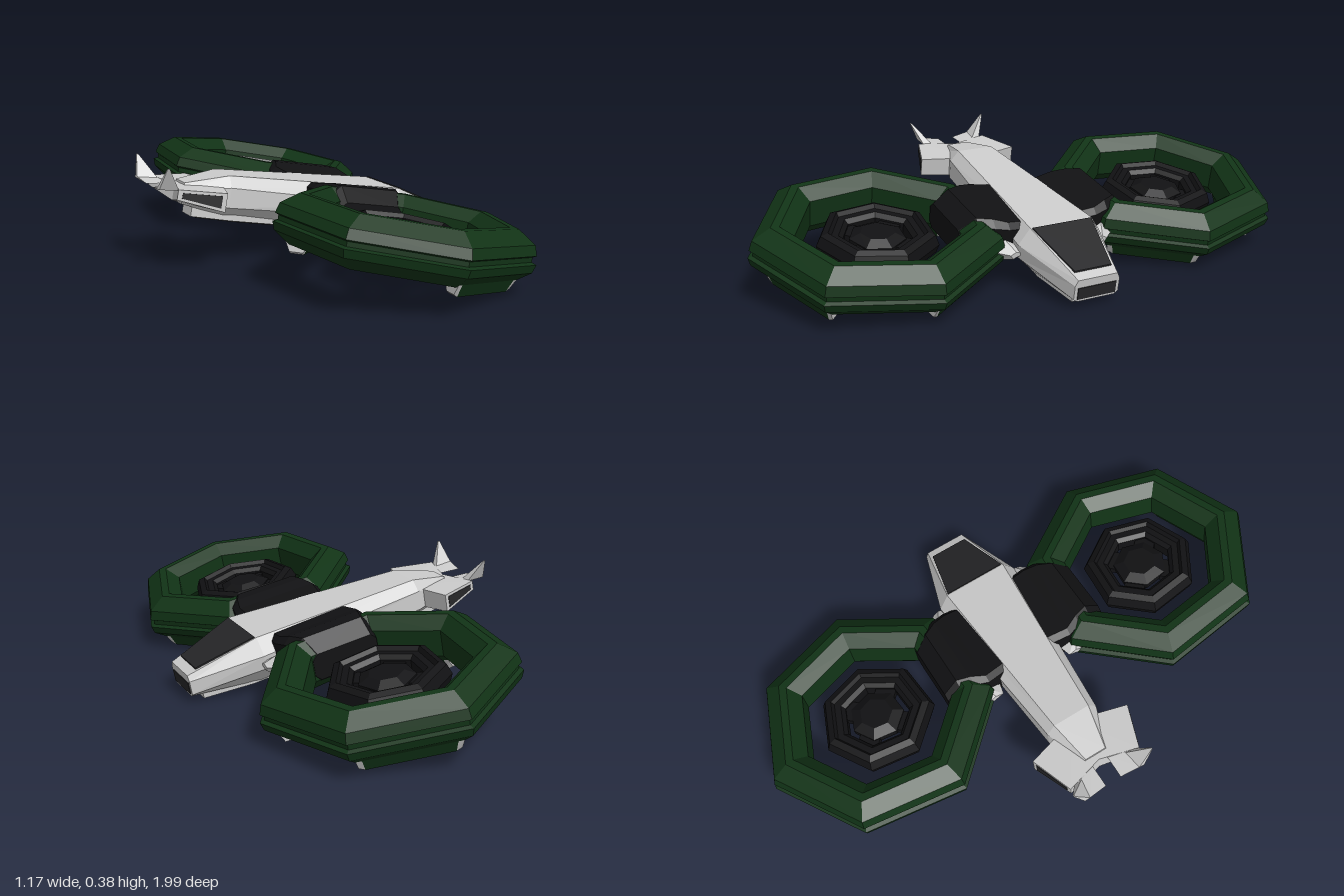
import * as THREE from 'three';

const mat = (color) => new THREE.MeshStandardMaterial({ color, flatShading: true });
const GREY = mat(0xcccccc), GREEN = mat(0x113316), BLACK = mat(0x111113), GLASS = mat(0x262628);
const DEG = Math.PI / 180;
const RING_X = 0.085, RING_Z = 0.565;

function add(parent, name, geometry, material) {
  const mesh = new THREE.Mesh(geometry, material);
  mesh.name = name;
  parent.add(mesh);
  return mesh;
}

// Closed solid through a row of equal point loops; faces are turned outward by its volume
function loft(loops) {
  const tris = [], n = loops[0].length, last = loops[loops.length - 1];
  for (let i = 0; i < loops.length - 1; i++) {
    for (let j = 0; j < n; j++) {
      const k = (j + 1) % n, a = loops[i], b = loops[i + 1];
      tris.push([a[j], a[k], b[j]], [a[k], b[k], b[j]]);
    }
  }
  for (let j = 1; j < n - 1; j++) {
    tris.push([last[0], last[j], last[j + 1]], [loops[0][0], loops[0][j + 1], loops[0][j]]);
  }
  const v = (p) => new THREE.Vector3(...p);
  let volume = 0;
  for (const [a, b, c] of tris) volume += v(a).dot(v(b).cross(v(c)));
  if (volume < 0) tris.forEach((t) => t.reverse());
  const g = new THREE.BufferGeometry();
  g.setAttribute('position', new THREE.Float32BufferAttribute(tris.flat(2), 3));
  g.computeVertexNormals();
  return g;
}

// Cross-section at x from the [z, y] points of its +z half, top to bottom
const section = (x, half) => [
  ...half.map(([z, y]) => [x, y, z]),
  ...half.slice().reverse().map(([z, y]) => [x, y, -z]),
];

// Seven-sided ring from a closed [radius, y] profile
function heptagon(profile, s) {
  const pts = profile.map(([r, y]) => new THREE.Vector2(r, y));
  return new THREE.LatheGeometry(pts, 7, (s > 0 ? -5 : 185) * DEG, Math.PI * 2);
}

function fuselage(craft) {
  add(craft, 'hull', loft([
    section(-0.48, [[0.04, 0.025], [0.05, 0.0], [0.05, -0.03], [0.035, -0.05]]),
    section(-0.33, [[0.07, 0.068], [0.1, 0.03], [0.1, -0.04], [0.06, -0.075]]),
    section(0.33, [[0.12, 0.088], [0.16, 0.03], [0.155, -0.02], [0.09, -0.085]]),
    section(0.585, [[0.075, 0.02], [0.085, 0.0], [0.085, -0.05], [0.07, -0.06]]),
  ]), GREY);
  add(craft, 'canopy', loft([
    section(0.335, [[0.115, 0.091], [0.115, 0.07]]),
    section(0.55, [[0.07, 0.035], [0.07, 0.015]]),
  ]), GLASS);
  add(craft, 'noseIntake', new THREE.BoxGeometry(0.01, 0.042, 0.145), GLASS).position.set(0.583, -0.03, 0);
  // Belly plate with a dark panel under it
  for (const [name, w, top, bottom, m] of [
    ['bellyPlate', 1, -0.04, -0.09, GREY], ['bellyPanel', 0.9, -0.08, -0.094, BLACK],
  ]) {
    add(craft, name, loft([[-0.44, 0.04], [-0.3, 0.07], [0.36, 0.09], [0.54, 0.06]].map(
      ([x, z]) => section(x * (w + 1) / 2, [[z * w, top], [z * w, bottom]]))), m);
  }
}

function tail(craft, s) {
  // Stabiliser stub with a dark inset at its tip
  add(craft, 'stabiliser', loft([
    [[-0.5, 0.015, 0], [-0.33, 0.03, 0], [-0.33, -0.045, 0], [-0.5, -0.045, 0]],
    [[-0.54, 0.015, s * 0.14], [-0.385, 0.025, s * 0.195], [-0.385, -0.04, s * 0.195], [-0.54, -0.02, s * 0.14]],
  ]), GREY);
  add(craft, 'stabiliserInset', loft([
    [[-0.525, 0.006, s * 0.13], [-0.4, 0.014, s * 0.17], [-0.4, -0.028, s * 0.17], [-0.525, -0.013, s * 0.13]],
    [[-0.525, 0.006, s * 0.147], [-0.4, 0.014, s * 0.192], [-0.4, -0.028, s * 0.192], [-0.525, -0.013, s * 0.147]],
  ]), GLASS);
  // Splayed tail fin
  add(craft, 'tailFin', loft([
    [[-0.59, 0.0, s * 0.03], [-0.5, 0.01, s * 0.03], [-0.5, 0.01, s * 0.06], [-0.59, 0.0, s * 0.05]],
    [[-0.6, 0.01, s * 0.1], [-0.53, 0.015, s * 0.09], [-0.53, 0.01, s * 0.12], [-0.6, 0.005, s * 0.12]],
    [[-0.595, 0.083, s * 0.153], [-0.588, 0.083, s * 0.152], [-0.588, 0.083, s * 0.157], [-0.595, 0.083, s * 0.157]],
  ]), GREY);
}

function rotor(craft, s) {
  const pod = new THREE.Group();
  pod.name = s > 0 ? 'leftRotor' : 'rightRotor';
  pod.position.set(RING_X, 0, s * RING_Z);
  craft.add(pod);

  // Outer duct with a groove round its rim
  add(pod, 'duct', heptagon([
    [0.28, -0.045], [0.31, -0.08], [0.37, -0.08], [0.425, -0.04], [0.434, -0.012], [0.418, -0.006],
    [0.418, 0.01], [0.43, 0.016], [0.42, 0.05], [0.36, 0.09], [0.33, 0.09], [0.28, 0.05], [0.28, -0.045],
  ], s), GREEN);
  // Fan: stepped hub ring, centre and spokes
  add(pod, 'hubRing', heptagon([
    [0.12, -0.03], [0.16, -0.045], [0.2, -0.03], [0.21, 0.0], [0.195, 0.035],
    [0.17, 0.045], [0.16, 0.03], [0.135, 0.03], [0.12, 0.015], [0.12, -0.03],
  ], s), BLACK);
  add(pod, 'hubCentre', heptagon([
    [0, -0.035], [0.07, -0.035], [0.098, -0.01], [0.098, 0.012], [0.06, 0.03], [0, 0.03],
  ], s), BLACK);
  for (let i = 0; i < 4; i++) {
    const a = (45 + 90 * i) * DEG;
    const spoke = add(pod, 'spoke', new THREE.BoxGeometry(0.07, 0.025, 0.075), BLACK);
    spoke.position.set(0.105 * Math.cos(a), -0.005, 0.105 * Math.sin(a));
    spoke.rotation.y = -a;
  }
  // Landing pads under three sides of the duct, with grey end caps
  const at = (deg, r, y) => [r * Math.cos(deg * DEG), y, s * r * Math.sin(deg * DEG)];
  const slice = (deg, k = 1) => [
    at(deg, 0.3, -0.07), at(deg, 0.385, -0.065), at(deg, 0.365, -0.07 - 0.042 * k), at(deg, 0.32, -0.07 - 0.042 * k),
  ];
  const lerpLoop = (a, b, t) => a.map((p, i) => p.map((c, j) => c + (b[i][j] - c) * t));
  for (const start of [-59.4, 43.6, 197.8]) {
    const a = slice(start), b = slice(start + 51.4);
    add(pod, 'landingPad', loft([lerpLoop(a, b, 0.06), lerpLoop(a, b, 0.94)]), GREEN);
    add(pod, 'padCap', loft([slice(start, 0.8), lerpLoop(a, b, 0.06)]), GREY);
    add(pod, 'padCap', loft([lerpLoop(a, b, 0.94), slice(start + 51.4, 0.8)]), GREY);
  }
}

function arm(craft, s) {
  // Dark bevelled mount joining the hull to the duct
  const loop = (z, x0, x1, y0, y1, b) => [
    [x0, y0 + b, s * z], [x0 + b, y0, s * z], [x1 - b, y0, s * z], [x1, y0 + b, s * z],
    [x1, y1 - b, s * z], [x1 - b, y1, s * z], [x0 + b, y1, s * z], [x0, y1 - b, s * z],
  ];
  add(craft, 'rotorMount', loft([
    loop(0.08, -0.04, 0.28, -0.055, 0.075, 0.02),
    loop(0.17, -0.055, 0.285, -0.055, 0.085, 0.02),
    loop(0.22, -0.04, 0.275, -0.085, 0.098, 0.025),
    loop(0.27, -0.025, 0.25, -0.085, 0.098, 0.025),
    loop(0.325, -0.02, 0.225, -0.045, 0.05, 0.02),
  ]), BLACK);
  // Small pointed fairings ahead of and behind the mount
  for (const [x, dx] of [[0.29, 0.05], [-0.05, -0.04]]) {
    add(craft, 'mountFairing', loft([
      [[x, 0.035, s * 0.19], [x, 0, s * 0.245], [x, -0.04, s * 0.2], [x, 0, s * 0.13]],
      [[x + dx, 0.01, s * 0.17], [x + dx, 0, s * 0.19], [x + dx, -0.015, s * 0.18], [x + dx, 0, s * 0.14]],
    ]), GREY);
  }
}

export function createModel() {
  const model = new THREE.Group();
  model.name = 'twinRotorCraft';
  // The whole craft flies nose-down along +x
  const craft = new THREE.Group();
  craft.name = 'craft';
  craft.position.y = 0.192;
  craft.rotation.z = -10.3 * DEG;
  model.add(craft);
  fuselage(craft);
  for (const s of [1, -1]) {
    tail(craft, s);
    arm(craft, s);
    rotor(craft, s);
  }
  return model;
}
